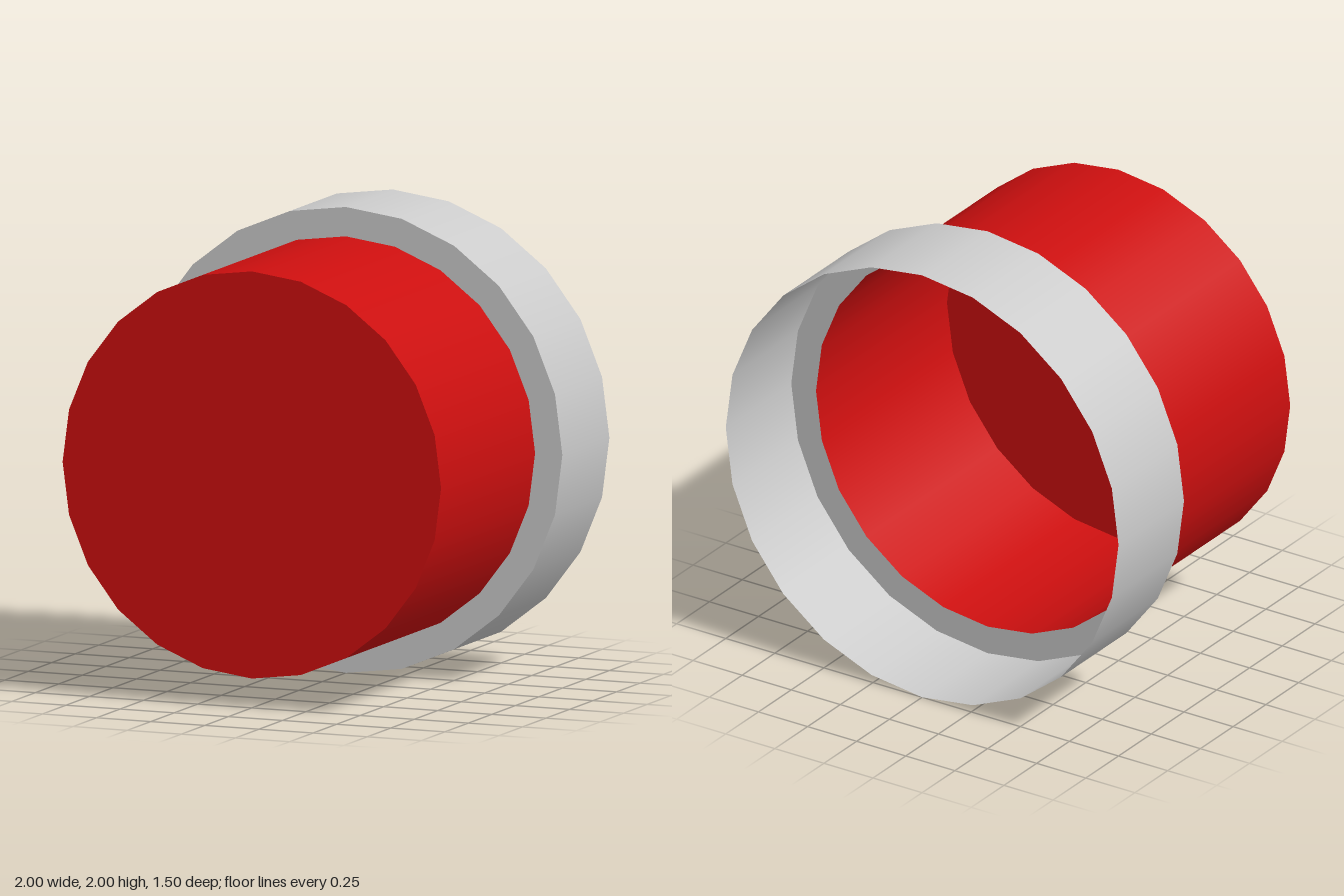
import * as THREE from 'three';

const SIDES = 24;
const RIM_RADIUS = 1;
const LENS_RADIUS = 0.874;
const FRONT = 0.75, STEP = -0.25, BACK = -0.75;

// Thin open shells, visible from inside and outside
const material = (color) => new THREE.MeshStandardMaterial({ color, side: THREE.DoubleSide });

// Open tube along z between two depths
function tube(radius, z0, z1) {
  return new THREE.CylinderGeometry(radius, radius, z1 - z0, SIDES, 1, true)
    .rotateX(Math.PI / 2)
    .translate(0, 0, (z0 + z1) / 2);
}

export function createModel() {
  const model = new THREE.Group();
  model.name = 'lampCap';
  const red = material(0xcc0f0f);
  const grey = material(0xcccccc);

  const add = (name, geometry, mat) => {
    const mesh = new THREE.Mesh(geometry, mat);
    mesh.name = name;
    mesh.position.y = RIM_RADIUS;
    model.add(mesh);
  };

  // Red lens: side wall and closed front
  add('lensWall', tube(LENS_RADIUS, STEP, FRONT), red);
  add('lensFace', new THREE.CircleGeometry(LENS_RADIUS, SIDES).translate(0, 0, FRONT), red);

  // Grey collar: flat shoulder and wider band, open at the back
  add('collarShoulder', new THREE.RingGeometry(LENS_RADIUS, RIM_RADIUS, SIDES).translate(0, 0, STEP), grey);
  add('collarBand', tube(RIM_RADIUS, BACK, STEP), grey);

  return model;
}
